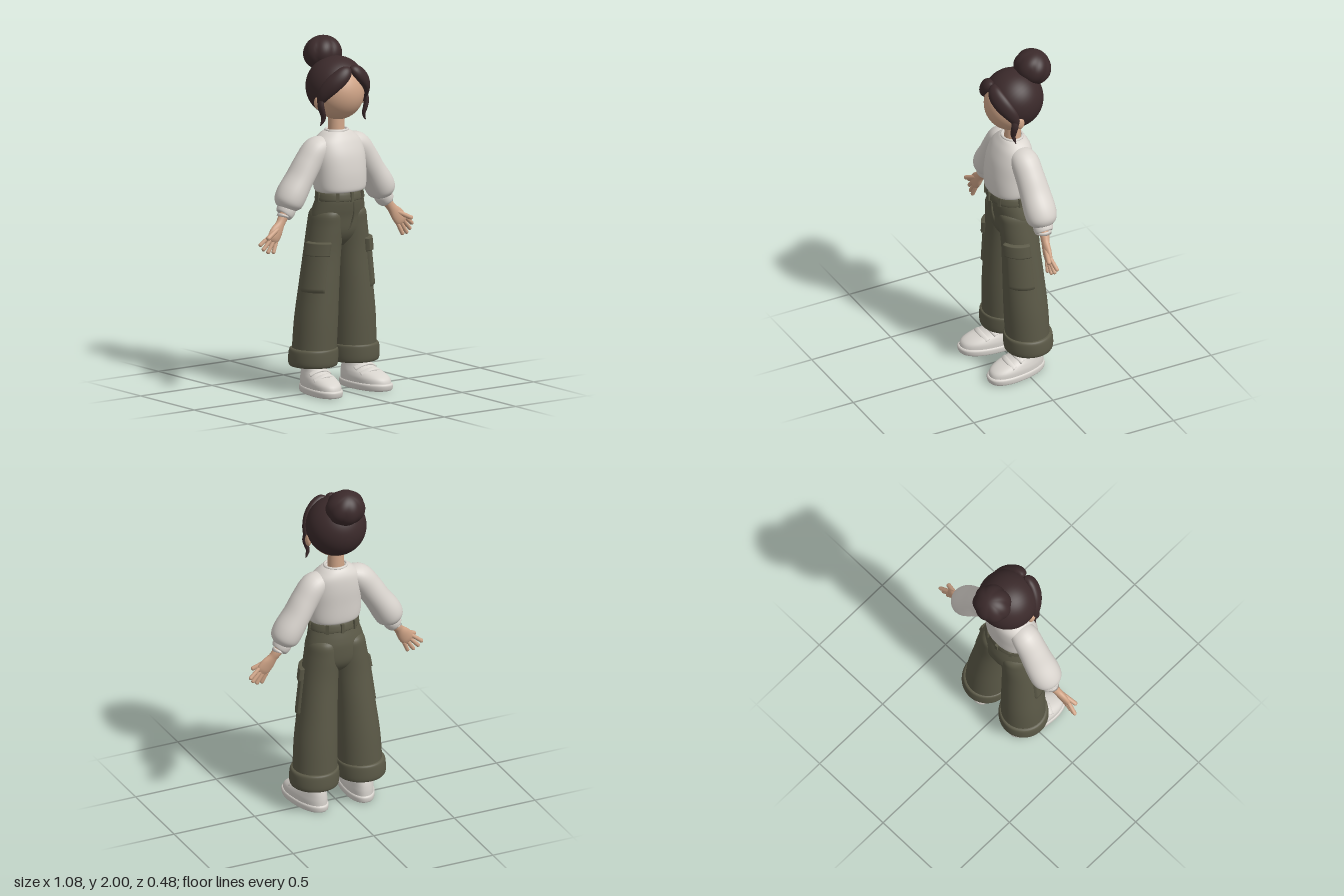
import * as THREE from 'three';
import { mergeVertices } from 'three/addons/utils/BufferGeometryUtils.js';

const V = (x, y, z) => new THREE.Vector3(x, y, z);
const mat = (name, color) => new THREE.MeshStandardMaterial({ name, color });

function indexed(positions, index) {
  const g = new THREE.BufferGeometry();
  g.setAttribute('position', new THREE.Float32BufferAttribute(positions, 3));
  g.setIndex(index);
  g.computeVertexNormals();
  return g;
}

// Smooth skin over elliptical sections [x, y, z, halfWidth, halfDepth].
// "flat" keeps sections horizontal (listed upwards); otherwise they follow the path.
function loft(rows, { ref = () => V(0, 0, 1), flat = false, seg = 32, sub = 5, pow = 1 } = {}) {
  const fine = [], n = rows.length;
  const cr = (a, b, c, d, t) => 0.5 * (2 * b + (c - a) * t + (2 * a - 5 * b + 4 * c - d) * t * t + (3 * b - a - 3 * c + d) * t ** 3);
  for (let i = 0; i < n - 1; i++) {
    const [a, b, c, d] = [rows[Math.max(i - 1, 0)], rows[i], rows[i + 1], rows[Math.min(i + 2, n - 1)]];
    for (let k = 0; k < sub; k++) fine.push(b.map((_, j) => cr(a[j], b[j], c[j], d[j], k / sub)));
  }
  fine.push(rows[n - 1]);
  const pos = [], idx = [], m = fine.length;
  const bend = (c) => Math.sign(c) * Math.abs(c) ** pow;
  fine.forEach((r, i) => {
    const p = V(...r), prev = fine[Math.max(i - 1, 0)], next = fine[Math.min(i + 1, m - 1)];
    const T = flat ? V(0, 1, 0) : V(...next).sub(V(...prev)).normalize();
    const v = flat ? V(0, 0, 1) : ref(p).clone();
    v.addScaledVector(T, -v.dot(T)).normalize();
    const u = v.clone().cross(T);
    for (let j = 0; j < seg; j++) {
      const t = (j / seg) * Math.PI * 2;
      const q = p.clone().addScaledVector(u, r[3] * bend(Math.cos(t))).addScaledVector(v, r[4] * bend(Math.sin(t)));
      pos.push(q.x, q.y, q.z);
      if (i < m - 1) {
        const a = i * seg + j, b = i * seg + (j + 1) % seg;
        idx.push(a, b, a + seg, b, b + seg, a + seg);
      }
    }
  });
  // End caps
  pos.push(...fine[0].slice(0, 3), ...fine[m - 1].slice(0, 3));
  for (let j = 0; j < seg; j++) {
    const k = (j + 1) % seg, e = (m - 1) * seg;
    idx.push(m * seg, k, j, m * seg + 1, e + j, e + k);
  }
  return indexed(pos, idx);
}

// Horizontal section from its front and back limits
const sec = (y, a, z0, z1, x = 0) => [x, y, (z0 + z1) / 2, a, (z1 - z0) / 2];
const legSec = (y, x0, x1, z0, z1) => sec(y, (x1 - x0) / 2, z0, z1, (x0 + x1) / 2);

function ball(c, r, seg = 32) {
  return new THREE.SphereGeometry(1, seg, seg * 0.75).scale(...r).translate(...c);
}
function finger(p, q, r) {
  const d = q.clone().sub(p), len = d.length();
  const g = new THREE.CapsuleGeometry(r, len, 6, 12);
  g.applyQuaternion(new THREE.Quaternion().setFromUnitVectors(V(0, 1, 0), d.normalize()));
  return g.translate((p.x + q.x) / 2, (p.y + q.y) / 2, (p.z + q.z) / 2);
}
function warp(g, f) {
  const p = g.attributes.position;
  for (let i = 0; i < p.count; i++) p.setXYZ(i, ...f(p.getX(i), p.getY(i), p.getZ(i)));
  g.computeVertexNormals();
  return g;
}
function mirror(g) {
  const m = (g.index ? g.clone() : mergeVertices(g)).scale(-1, 1, 1);
  m.index.array.reverse();
  return m;
}

export function createModel() {
  const model = new THREE.Group();
  const skin = mat('skin', 0xcfa487), hair = mat('dark brown hair', 0x3b2a2b), knit = mat('off-white knit', 0xd9d4ce);
  const cloth = mat('olive cloth', 0x5b5947), shoeMat = mat('pale shoe', 0xd8d4ce);
  hair.side = THREE.DoubleSide;
  const add = (name, g, m) => {
    const mesh = new THREE.Mesh(g, m);
    mesh.name = name;
    model.add(mesh);
  };
  const pair = (name, g, m) => {
    add('left ' + name, g, m);
    add('right ' + name, mirror(g), m);
  };

  // Head and neck
  add('head', ball([0, 1.7, 0.008], [0.148, 0.156, 0.148], 48), skin);
  add('neck', new THREE.CylinderGeometry(0.043, 0.05, 0.16, 32).translate(0, 1.51, -0.008), skin);
  pair('ear', ball([0.156, 1.655, 0.025], [0.016, 0.036, 0.024], 20), skin);

  // Hair: cap open towards the face, bun, fringe and loose locks
  const cap = new THREE.SphereGeometry(0.171, 48, 32, 0, Math.PI * 2, 0, 2.02);
  add('hair cap', cap.rotateX(-1.035).translate(0, 1.73, -0.01), hair);
  const bun = warp(mergeVertices(new THREE.SphereGeometry(1, 64, 40).deleteAttribute('uv').deleteAttribute('normal')), (x, y, z) => {
    const a = Math.atan2(z, x), ring = Math.hypot(x, z);
    const s = 0.95 + 0.07 * Math.abs(Math.sin(a * 3.5 + Math.PI / 4 + y * 0.9)) * ring;
    return [x * s * 0.112, y * 0.1, z * s * 0.104];
  });
  add('hair bun', bun.rotateX(-0.35).translate(0, 1.899, -0.133), hair);
  const radial = { ref: (p) => p.clone().sub(V(0, 1.72, -0.01)) };
  pair('fringe', loft([
    [0.008, 1.85, 0.11, 0.012, 0.012], [0.03, 1.838, 0.125, 0.035, 0.026], [0.065, 1.81, 0.127, 0.046, 0.03],
    [0.108, 1.768, 0.108, 0.048, 0.03], [0.14, 1.718, 0.076, 0.04, 0.026], [0.153, 1.67, 0.052, 0.024, 0.018],
    [0.155, 1.635, 0.045, 0.008, 0.008]], radial), hair);
  pair('loose lock', loft([
    [0.152, 1.69, 0.06, 0.015, 0.012], [0.16, 1.645, 0.062, 0.02, 0.014], [0.15, 1.605, 0.064, 0.018, 0.013],
    [0.141, 1.575, 0.062, 0.014, 0.011], [0.147, 1.55, 0.058, 0.009, 0.008], [0.158, 1.53, 0.054, 0.002, 0.002]],
    { ...radial, seg: 16 }), hair);

  // Sweater
  add('sweater body', loft([
    sec(1.142, 0.13, -0.075, 0.122), sec(1.148, 0.147, -0.09, 0.14), sec(1.18, 0.156, -0.097, 0.146),
    sec(1.26, 0.158, -0.101, 0.144), sec(1.35, 0.158, -0.105, 0.128), sec(1.42, 0.143, -0.1, 0.1),
    sec(1.46, 0.105, -0.085, 0.075), sec(1.482, 0.068, -0.064, 0.055), sec(1.476, 0.045, -0.045, 0.035)],
    { flat: true, seg: 48, pow: 0.9 }), knit);
  add('collar', new THREE.TorusGeometry(0.064, 0.008, 10, 40).rotateX(Math.PI / 2).scale(1, 1, 0.9).translate(0, 1.483, -0.005), knit);
  pair('sleeve', loft([
    [0.07, 1.415, -0.005, 0.04, 0.06], [0.135, 1.385, -0.01, 0.073, 0.08], [0.195, 1.31, -0.015, 0.077, 0.083],
    [0.25, 1.225, -0.02, 0.077, 0.088], [0.302, 1.145, -0.022, 0.084, 0.092], [0.328, 1.095, -0.022, 0.078, 0.083],
    [0.34, 1.068, -0.022, 0.052, 0.058]]), knit);
  pair('sleeve cuff', loft([
    [0.328, 1.082, -0.022, 0.044, 0.05], [0.336, 1.068, -0.022, 0.052, 0.058], [0.35, 1.043, -0.02, 0.05, 0.055],
    [0.358, 1.032, -0.02, 0.042, 0.046], [0.357, 1.035, -0.02, 0.028, 0.03]], { sub: 4 }), knit);

  // Hands
  pair('hand', loft([
    [0.335, 1.06, -0.018, 0.03, 0.03], [0.37, 1.015, -0.016, 0.028, 0.026], [0.392, 0.985, -0.01, 0.028, 0.022],
    [0.42, 0.95, -0.004, 0.04, 0.021], [0.445, 0.916, 0, 0.041, 0.018], [0.458, 0.898, 0, 0.032, 0.011]]), skin);
  [0.058, 0.075, 0.078, 0.07].forEach((len, k) => {
    const off = (k - 1.5) * 0.02, a = -0.9 + (k - 1.5) * 0.16;
    const base = V(0.45 + 0.78 * off, 0.908 + 0.62 * off, 0);
    const tip = base.clone().add(V(Math.cos(a) * len, Math.sin(a) * len, 0.008 - k * 0.006));
    pair('finger ' + (k + 1), finger(base, tip, 0.0115), skin);
  });
  pair('thumb', finger(V(0.42, 0.962, 0.004), V(0.498, 0.923, 0.024), 0.013), skin);

  // Trousers
  add('trouser hips', loft([
    sec(0.83, 0.05, -0.05, 0.05), sec(0.87, 0.14, -0.09, 0.085), sec(0.92, 0.174, -0.112, 0.108),
    sec(1.0, 0.171, -0.114, 0.12), sec(1.05, 0.16, -0.106, 0.13), sec(1.1, 0.145, -0.092, 0.135),
    sec(1.15, 0.13, -0.08, 0.125)], { flat: true, seg: 48 }), cloth);
  add('waistband', loft([
    sec(1.096, 0.14, -0.088, 0.13), sec(1.1, 0.15, -0.097, 0.141), sec(1.14, 0.142, -0.088, 0.135),
    sec(1.145, 0.13, -0.08, 0.125)], { flat: true, seg: 48, sub: 3 }), cloth);
  for (const deg of [55, 90, 125, 0, 180, 235, 270, 305]) {
    const a = THREE.MathUtils.degToRad(deg);
    const loop = new THREE.BoxGeometry(0.018, 0.055, 0.014).rotateY(Math.PI / 2 - a);
    add('belt loop', loop.translate(Math.cos(a) * 0.148, 1.119, 0.022 + Math.sin(a) * 0.119), cloth);
  }
  add('fly seam', loft([[0.018, 1.095, 0.132, 0.004, 0.006], [0.02, 1.03, 0.132, 0.004, 0.006],
    [0.014, 0.97, 0.118, 0.004, 0.006], [0, 0.93, 0.105, 0.004, 0.006]], { seg: 8 }), cloth);
  const legRows = [
    legSec(0.165, 0.016, 0.268, -0.155, 0.095), legSec(0.4, 0.009, 0.256, -0.147, 0.104),
    legSec(0.6, 0.005, 0.231, -0.132, 0.105), legSec(0.8, -0.004, 0.205, -0.115, 0.104),
    legSec(0.95, -0.015, 0.181, -0.112, 0.112), legSec(1.03, 0, 0.16, -0.1, 0.11), legSec(1.07, 0.04, 0.1, -0.03, 0.05)];
  pair('trouser leg', loft(legRows, { flat: true, seg: 40 }), cloth);
  pair('turned-up hem', loft([
    legSec(0.19, 0.06, 0.22, -0.1, 0.05), legSec(0.157, 0.03, 0.255, -0.14, 0.08), legSec(0.152, 0.012, 0.276, -0.162, 0.1),
    legSec(0.175, 0.005, 0.286, -0.17, 0.109), legSec(0.23, 0.004, 0.283, -0.168, 0.11),
    legSec(0.25, 0.008, 0.275, -0.162, 0.107), legSec(0.254, 0.02, 0.26, -0.145, 0.095)],
    { flat: true, seg: 40, sub: 4 }), cloth);

  // Cargo pockets: raised patches that follow the leg
  const patch = (y0, y1, a0, a1, lift) => {
    const n = 16, pos = [], idx = [];
    for (let i = 0; i <= n; i++) for (let j = 0; j <= n; j++) {
      const y = y0 + (y1 - y0) * j / n, a = THREE.MathUtils.degToRad(a0 + (a1 - a0) * i / n);
      const k = legRows.findIndex((r, q) => q > 0 && r[1] >= y), [lo, hi] = [legRows[k - 1], legRows[k]];
      const r = lo.map((v, q) => v + (hi[q] - v) * (y - lo[1]) / (hi[1] - lo[1]));
      const d = i % n && j % n ? lift : -0.006;
      pos.push(r[0] + (r[3] + d) * Math.cos(a), y, r[2] + (r[4] + d) * Math.sin(a));
      if (i < n && j < n) {
        const p = i * (n + 1) + j, q = p + n + 1;
        idx.push(p, p + 1, q, p + 1, q + 1, q);
      }
    }
    return indexed(pos, idx);
  };
  pair('cargo pocket', patch(0.575, 0.82, -8, 72, 0.011), cloth);
  pair('cargo pocket flap', patch(0.785, 0.868, -6, 78, 0.021), cloth);

  // Shoes, toes turned slightly outward
  const place = (g) => warp(g, (x, y, z) => [0.152 + x * (0.97 + z * 0.5) + z * 0.11, y, z]);
  const round = { flat: true, seg: 44, sub: 4, pow: 0.88 };
  pair('shoe sole', place(loft([
    sec(0, 0.078, -0.115, 0.222), sec(0.006, 0.088, -0.127, 0.234), sec(0.032, 0.09, -0.131, 0.24),
    sec(0.042, 0.083, -0.124, 0.232)], round)), shoeMat);
  pair('shoe upper', place(loft([
    sec(0.03, 0.083, -0.122, 0.23), sec(0.065, 0.084, -0.122, 0.22), sec(0.09, 0.078, -0.12, 0.18),
    sec(0.11, 0.07, -0.117, 0.12), sec(0.13, 0.063, -0.112, 0.078), sec(0.16, 0.057, -0.102, 0.048),
    sec(0.185, 0.052, -0.092, 0.035)], round)), shoeMat);
  [[0.118, 0.112], [0.066, 0.137]].forEach(([z, y], i) => {
    const half = [1, 0.8, 0.4, 0, -0.4, -0.8, -1].map((t) => [t * 0.068, y - 0.026 * t * t, z - 0.02 * t * t, 0.015, 0.009]);
    pair('shoe strap ' + (i + 1), place(loft(half, { ref: () => V(0, 0.88, 0.47), seg: 16, sub: 3, pow: 0.7 })), shoeMat);
  });
  return model;
}
